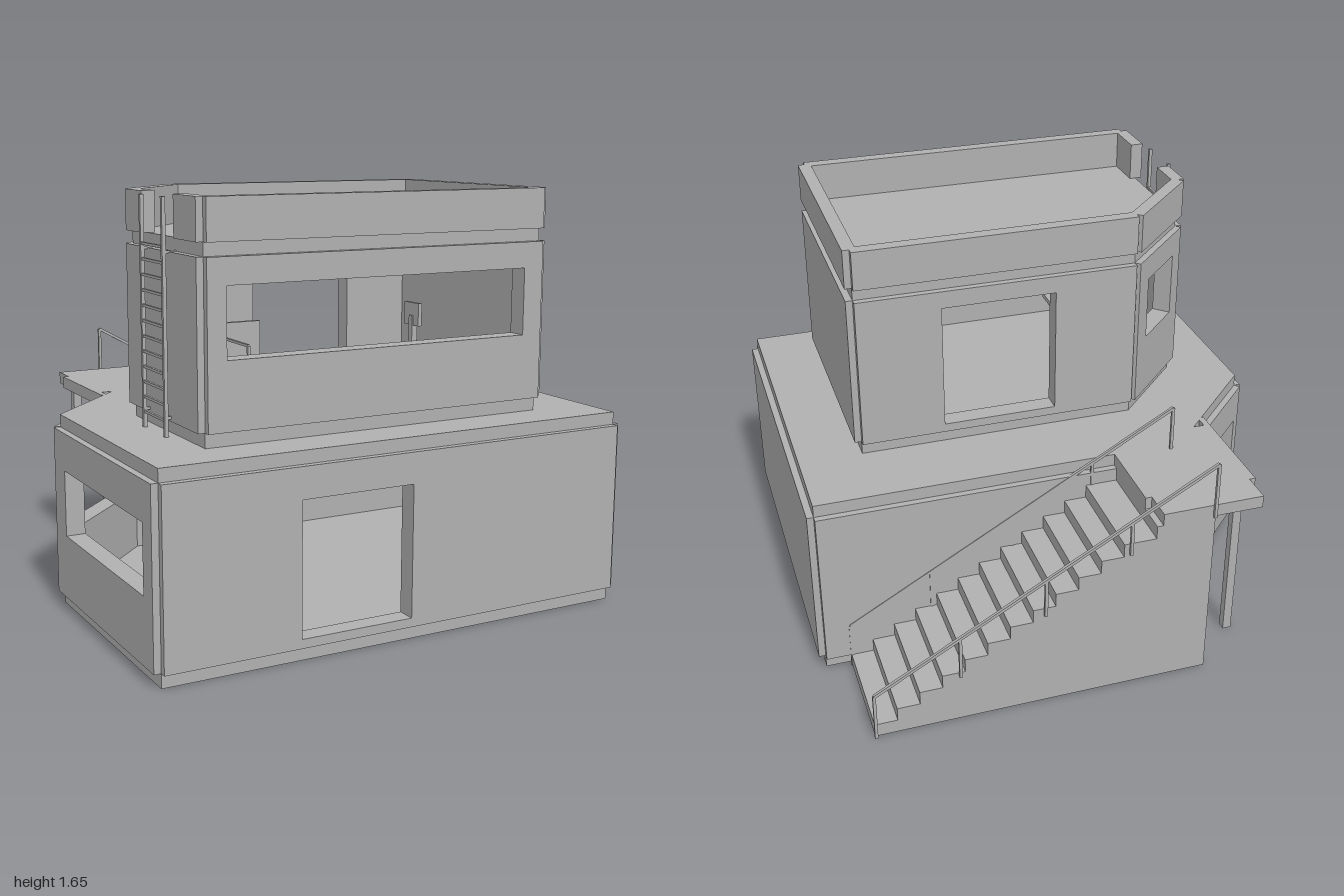
import * as THREE from 'three';

const concrete = new THREE.MeshStandardMaterial({ color: 0xb0b0b0 });
concrete.name = 'concrete grey';

function add(parent, name, geometry) {
  const mesh = new THREE.Mesh(geometry, concrete);
  mesh.name = name;
  parent.add(mesh);
  return mesh;
}

// Box given by its limits on each axis
function box(parent, name, x0, x1, y0, y1, z0, z1) {
  const m = add(parent, name, new THREE.BoxGeometry(x1 - x0, y1 - y0, z1 - z0));
  m.position.set((x0 + x1) / 2, (y0 + y1) / 2, (z0 + z1) / 2);
  return m;
}

// Thin square bar between two points
function bar(parent, name, a, b, t = 0.012) {
  const p = new THREE.Vector3(...a), q = new THREE.Vector3(...b);
  const m = add(parent, name, new THREE.BoxGeometry(t, t, p.distanceTo(q)));
  m.position.copy(p).add(q).multiplyScalar(0.5);
  m.lookAt(q);
  return m;
}

// Horizontal slab from an [x, z] outline
function slab(parent, name, outline, y0, y1) {
  const shape = new THREE.Shape(outline.map(([x, z]) => new THREE.Vector2(x, -z)));
  const g = new THREE.ExtrudeGeometry(shape, { depth: y1 - y0, bevelEnabled: false });
  g.rotateX(-Math.PI / 2);
  g.translate(0, y0, 0);
  return add(parent, name, g);
}

// Upright wall from a to b with an optional opening [u0, u1, y0, y1];
// "from" and "to" are distances outward from the line a-b
function wall(parent, name, a, b, y0, y1, from, to, hole) {
  const dx = b[0] - a[0], dz = b[1] - a[1], len = Math.hypot(dx, dz);
  const rect = (u0, u1, v0, v1) => [[u0, v0], [u1, v0], [u1, v1], [u0, v1]]
    .map(([u, v]) => new THREE.Vector2(u, v));
  const shape = new THREE.Shape(rect(0, len, y0, y1));
  if (hole) shape.holes.push(new THREE.Path(rect(...hole).reverse()));
  const g = new THREE.ExtrudeGeometry(shape, { depth: to - from, bevelEnabled: false });
  g.translate(0, 0, from);
  const m = add(parent, name, g);
  m.position.set(a[0], 0, a[1]);
  m.rotation.y = Math.atan2(-dz, dx);
  return m;
}

// One storey: inset core walls with raised cladding panels on each side
function storey(parent, name, outline, y0, y1, p0, p1, holes) {
  const g = new THREE.Group();
  g.name = name;
  parent.add(g);
  outline.forEach((a, i) => {
    const b = outline[(i + 1) % outline.length];
    wall(g, 'coreWall', a, b, y0, y1, -0.05, 0, holes[i]);
    wall(g, 'claddingPanel', a, b, p0, p1, 0, 0.027, holes[i]);
  });
  slab(g, 'floor', outline, y0, y0 + 0.055);
  slab(g, 'ceiling', outline, y1 - 0.05, y1);
  return g;
}

// Pedestal with a small swivelling top
function pedestal(parent, x, z, floor, top) {
  const g = new THREE.Group();
  g.name = 'pedestal';
  parent.add(g);
  box(g, 'pedestalFoot', x - 0.03, x + 0.03, floor, floor + 0.015, z - 0.03, z + 0.03);
  box(g, 'pedestalColumn', x - 0.012, x + 0.012, floor, top - 0.05, z - 0.012, z + 0.012);
  box(g, 'pedestalHead', x - 0.008, x + 0.008, top - 0.09, top, z - 0.05, z + 0.05);
}

// Table on a single leg with a low rail around the back
function table(parent, x, z, floor, top) {
  const g = new THREE.Group();
  g.name = 'table';
  parent.add(g);
  box(g, 'tableTop', x - 0.08, x + 0.08, top - 0.02, top, z - 0.13, z + 0.13);
  box(g, 'tableLeg', x - 0.015, x + 0.015, floor, top - 0.02, z - 0.015, z + 0.015);
  for (const s of [-1, 1]) {
    bar(g, 'tableRailPost', [x - 0.07, top, z + s * 0.11], [x - 0.07, top + 0.08, z + s * 0.11], 0.01);
  }
  bar(g, 'tableRail', [x - 0.07, top + 0.08, z - 0.11], [x - 0.07, top + 0.08, z + 0.11], 0.01);
}

export function createModel() {
  const model = new THREE.Group();
  model.name = 'bunkerHouse';

  // Lower storey: front doorway, chamfer window, side window
  const lower = [[-0.97, 0.93], [0.97, 0.93], [0.97, -0.5], [-0.52, -0.5], [-0.97, -0.05]];
  storey(model, 'lowerStorey', lower, 0, 0.77, 0.055, 0.72, [
    [0.53, 0.99, 0.09, 0.6], null, null, [0.1, 0.59, 0.31, 0.57], [0.115, 0.9, 0.31, 0.57]]);

  // Upper storey: wide front window, rear doorway, chamfer window
  const upper = [[-0.715, 0.75], [0.715, 0.75], [0.715, -0.19], [-0.415, -0.19], [-0.715, 0.11]];
  storey(model, 'upperStorey', upper, 0.77, 1.49, 0.825, 1.44, [
    [0.075, 1.345, 1.08, 1.34], null, [0.335, 0.795, 0.86, 1.37], [0.09, 0.345, 1.08, 1.34], null]);

  // Parapet with a gap for the ladder
  const parapet = new THREE.Group();
  parapet.name = 'parapet';
  model.add(parapet);
  const runs = upper.slice(0, 4).map((a, i) => [a, upper[i + 1]]);
  runs.push([[-0.715, 0.11], [-0.715, 0.27]], [[-0.715, 0.56], [-0.715, 0.75]]);
  for (const [a, b] of runs) {
    wall(parapet, 'parapetWall', a, b, 1.49, 1.645, -0.025, 0);
    wall(parapet, 'parapetPanel', a, b, 1.49, 1.645, 0, 0.027);
  }

  // Ladder to the roof
  const ladder = new THREE.Group();
  ladder.name = 'ladder';
  model.add(ladder);
  for (const z of [0.315, 0.515]) {
    bar(ladder, 'ladderRail', [-0.762, 0.77, z], [-0.762, 1.635, z], 0.014);
    for (const y of [0.84, 1.44]) bar(ladder, 'ladderBracket', [-0.762, y, z], [-0.715, y, z], 0.01);
  }
  for (let i = 0; i < 12; i++) {
    const y = 0.83 + i * 0.057;
    bar(ladder, 'ladderRung', [-0.762, y, 0.315], [-0.762, y, 0.515], 0.01);
  }

  // Landing slab, its edge strips and supporting post
  box(model, 'landing', -0.665, -0.26, 0.72, 0.77, -0.947, -0.4);
  box(model, 'landingEdge', -0.69, -0.665, 0.72, 0.77, -0.825, -0.34);
  box(model, 'landingEdge', -0.26, -0.235, 0.72, 0.77, -0.825, -0.5);
  box(model, 'landingPost', -0.675, -0.64, 0, 0.72, -0.765, -0.73);

  // Solid staircase
  const profile = new THREE.Shape();
  profile.moveTo(-0.47, 0);
  profile.lineTo(0.87, 0);
  const run = 0.0888, rise = 0.0555;
  for (let i = 0; i < 12; i++) {
    profile.lineTo(0.87 - i * run, (i + 1) * rise);
    profile.lineTo(i < 11 ? 0.87 - (i + 1) * run : -0.235, (i + 1) * rise);
  }
  profile.lineTo(-0.235, 0.72);
  profile.lineTo(-0.47, 0.72);
  const stairs = add(model, 'stairs', new THREE.ExtrudeGeometry(profile, { depth: 0.42, bevelEnabled: false }));
  stairs.position.z = -0.947;

  // Handrails on both sides of the stairs
  for (const z of [-0.955, -0.524]) {
    const rail = new THREE.Group();
    rail.name = 'handrail';
    model.add(rail);
    const height = x => 0.2 + (0.867 - x) * 0.567;
    bar(rail, 'railTop', [0.867, 0.2, z], [-0.465, height(-0.465), z]);
    for (let i = 0; i < 5; i++) {
      const x = 0.867 - i * 0.333;
      const foot = i === 0 ? 0 : Math.min(0.72, (0.87 - x) * 0.62);
      bar(rail, 'railPost', [x, foot, z], [x, height(x), z]);
    }
  }

  // Furniture seen through the openings
  const inside = new THREE.Group();
  inside.name = 'furniture';
  model.add(inside);
  table(inside, -0.52, 0.56, 0.055, 0.27);
  table(inside, -0.36, 0.41, 0.825, 1.0);
  box(inside, 'deskBox', -0.44, -0.28, 1.0, 1.14, 0.3, 0.32);
  pedestal(inside, 0.33, 0.46, 0.825, 1.19);
  for (const x of [-0.25, -0.156]) box(inside, 'locker', x, x + 0.091, 0.055, 0.4, -0.44, -0.34);

  return model;
}
